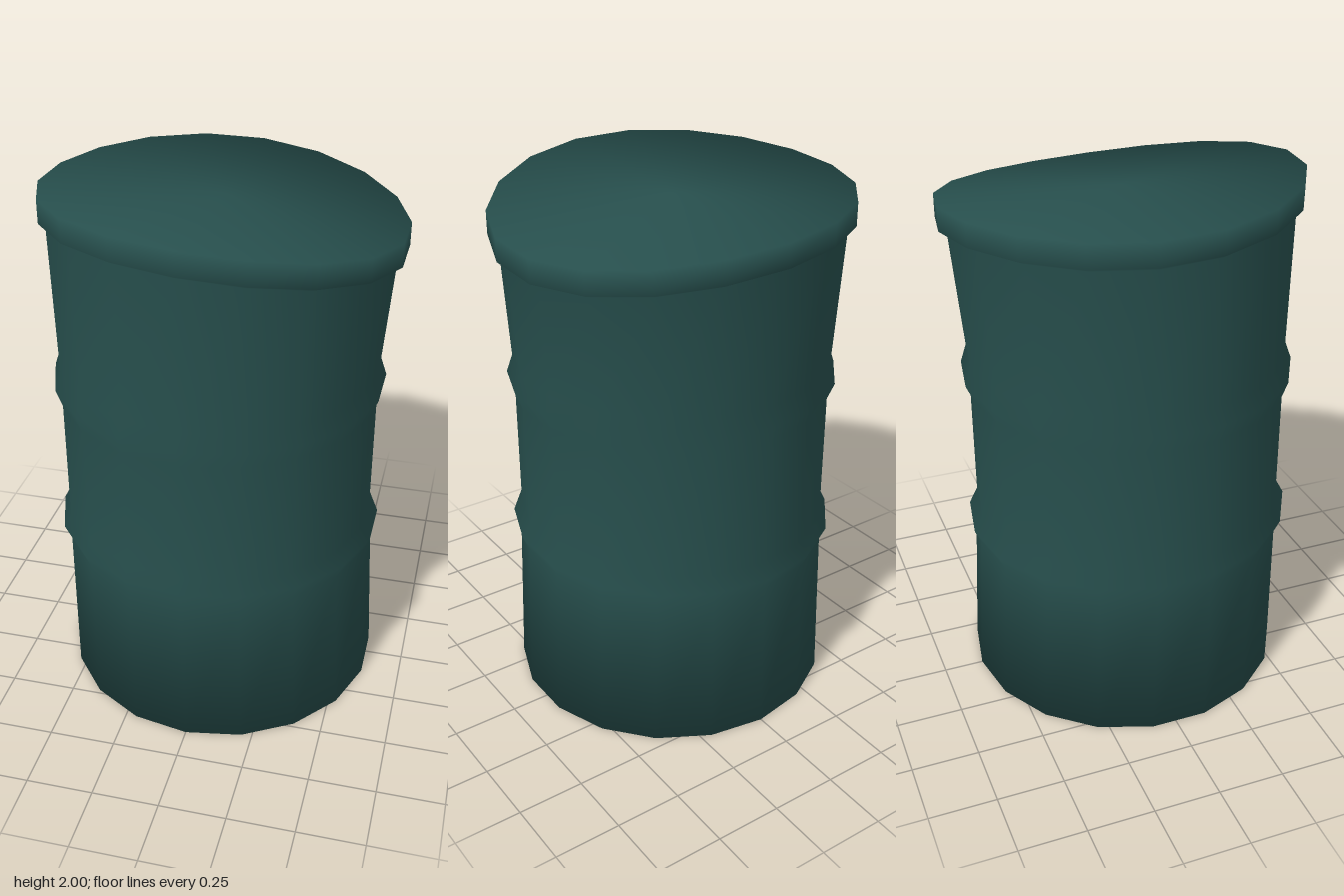
import * as THREE from 'three';

const SIDES = 18;

// Height of the bent lid edge in the direction (sx, sz)
const lidHeight = (sx, sz) => 1.935 - 0.055 * sx + 0.03 * sz + 0.026 * (sz * sz - sx * sx);

// Rings from floor to lid: radius, centre x, centre z, height(sx, sz)
const level = (y, tx = 0, tz = 0) => (sx, sz) => y + tx * sx + tz * sz;
const lid = (drop) => (sx, sz) => lidHeight(sx, sz) - drop;
const RINGS = [
  [0.612, 0, 0.014, level(0)],
  [0.596, -0.012, 0.023, level(0.605, 0, 0.015)],
  [0.62, -0.012, 0.024, level(0.658, 0, 0.02)], // lower rib
  [0.59, -0.015, 0.025, level(0.712, 0, 0.015)],
  [0.59, -0.015, 0.023, level(1.197)],
  [0.616, -0.013, 0.021, level(1.263, 0, 0.004)], // upper rib
  [0.593, -0.013, 0.02, level(1.33)],
  [0.62, -0.005, 0.003, lid(0.1)],
  [0.65, 0, 0, lid(0.085)], // lid lip
  [0.65, 0, 0, lid(0)],
];

function drumGeometry() {
  const pos = [], index = [];
  for (const [r, cx, cz, height] of RINGS) {
    for (let i = 0; i < SIDES; i++) {
      const a = (i / SIDES) * Math.PI * 2;
      const sx = Math.sin(a), sz = Math.cos(a);
      pos.push(cx + r * sx, height(sx, sz), cz + r * sz);
    }
  }
  const last = (RINGS.length - 1) * SIDES;
  const bottom = RINGS.length * SIDES, top = bottom + 1;
  pos.push(0, 0, 0.014, 0, 1.935, 0);

  for (let i = 0; i < SIDES; i++) {
    const j = (i + 1) % SIDES;
    // wall
    for (let k = 0; k < last; k += SIDES) {
      index.push(k + i, k + j, k + SIDES + j, k + i, k + SIDES + j, k + SIDES + i);
    }
    // floor and lid
    index.push(bottom, j, i, top, last + i, last + j);
  }

  const geo = new THREE.BufferGeometry();
  geo.setAttribute('position', new THREE.Float32BufferAttribute(pos, 3));
  geo.setIndex(index);
  geo.computeVertexNormals();

  // Soft shading that rolls evenly over the floor and lid edges
  const n = geo.attributes.normal;
  for (let i = 0; i < SIDES; i++) {
    const a = (i / SIDES) * Math.PI * 2;
    const v = new THREE.Vector3(Math.sin(a), 0.9, Math.cos(a)).normalize();
    n.setXYZ(last + i, v.x, v.y, v.z);
    n.setXYZ(i, v.x, -v.y, v.z);
  }
  return geo;
}

export function createModel() {
  const paint = new THREE.MeshStandardMaterial({ color: 0x274f4d });
  paint.name = 'dark teal paint';

  const drum = new THREE.Mesh(drumGeometry(), paint);
  drum.name = 'dentedDrum';

  const group = new THREE.Group();
  group.name = 'barrel';
  group.add(drum);
  return group;
}
